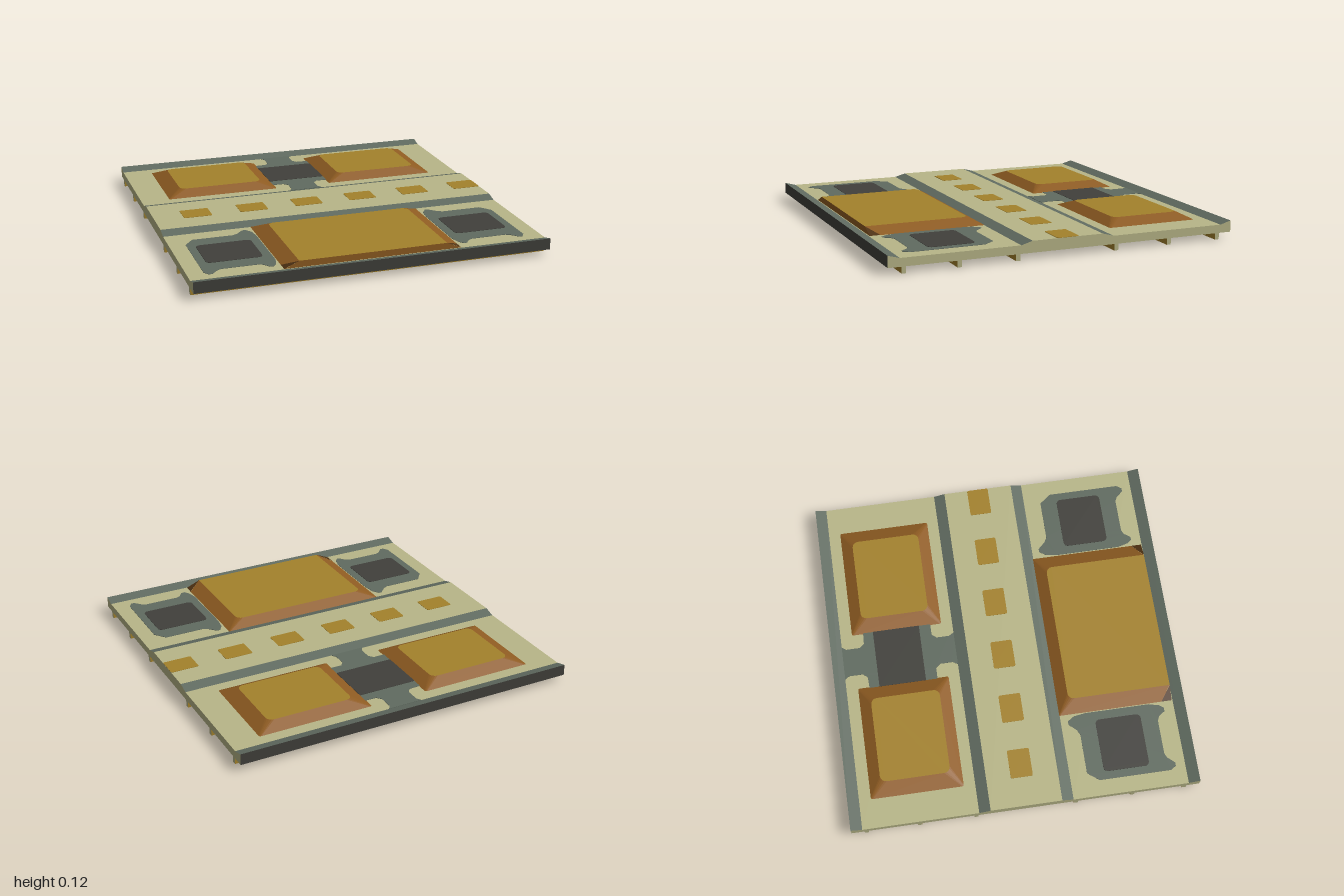
import * as THREE from 'three';

const mat = (name, color, side = THREE.FrontSide) => {
  const m = new THREE.MeshStandardMaterial({ color, side });
  m.name = name;
  return m;
};

export function createModel() {
  const cream = mat('cream', 0xb8b688);
  const gold = mat('gold', 0xa4822b);
  const brown = mat('brown', 0x8f5c22);
  const deepBrown = mat('deepBrown', 0x4f3213, THREE.DoubleSide);
  const grey = mat('greyGreen', 0x606b60);
  const dark = mat('charcoal', 0x41403b);

  const FLOOR = 0.082, RIM = 0.1, TOP = 0.118, BOTTOM = 0.036;
  const model = new THREE.Group();
  model.name = 'floorPanel';

  const add = (name, geometry, material) => {
    const mesh = new THREE.Mesh(geometry, material);
    mesh.name = name;
    model.add(mesh);
    return mesh;
  };

  // Flat-shaded convex polygons, each split into a fan
  const facets = (name, material, polygons) => {
    const points = [];
    for (const p of polygons)
      for (let i = 1; i < p.length - 1; i++) points.push(...p[0], ...p[i], ...p[i + 1]);
    const g = new THREE.BufferGeometry();
    g.setAttribute('position', new THREE.Float32BufferAttribute(points, 3));
    g.computeVertexNormals();
    return add(name, g, material);
  };

  // Rounded rectangle as [x, z] points, counterclockwise seen from above
  const ring = (x0, x1, z0, z1, rBack, rFront = rBack) => {
    const points = [];
    for (let k = 0; k < 4; k++) {
      const r = k < 2 ? rBack : rFront;
      const cx = k === 0 || k === 3 ? x1 - r : x0 + r;
      const cz = k < 2 ? z0 + r : z1 - r;
      for (let i = 0; i <= 4; i++) {
        const a = (k + i / 4) * Math.PI / 2;
        points.push([cx + r * Math.cos(a), cz - r * Math.sin(a)]);
      }
    }
    return points;
  };
  const lift = (points, y) => points.map(([x, z]) => [x, y, z]);

  // Thin painted plate from an [x, z] outline
  const plate = (name, material, outline, y, thickness) => {
    const shape = new THREE.Shape(outline.map(([x, z]) => new THREE.Vector2(x, -z)));
    const g = new THREE.ExtrudeGeometry(shape, { depth: thickness, bevelEnabled: false });
    g.rotateX(-Math.PI / 2).translate(0, y, 0);
    return add(name, g, material);
  };

  // Slab: strips along x following the [z, y] profile, sloped strips in grey
  const profile = [[-1, RIM], [-0.935, FLOOR], [-0.27, FLOOR], [-0.205, RIM],
    [0.205, RIM], [0.27, FLOOR], [0.935, FLOOR], [1, RIM]];
  const flats = [], slopes = [], ends = [];
  for (let i = 0; i < profile.length - 1; i++) {
    const [za, ya] = profile[i], [zb, yb] = profile[i + 1];
    (ya === yb ? flats : slopes).push([[-1, ya, za], [-1, yb, zb], [1, yb, zb], [1, ya, za]]);
    ends.push([[1, BOTTOM, zb], [1, BOTTOM, za], [1, ya, za], [1, yb, zb]]);
    ends.push([[-1, BOTTOM, za], [-1, BOTTOM, zb], [-1, yb, zb], [-1, ya, za]]);
  }
  facets('deck', cream, flats);
  facets('slopedStrips', grey, slopes);
  facets('slabEnds', cream, ends);
  facets('slabEdgesAndUnderside', dark, [
    [[-1, BOTTOM, 1], [1, BOTTOM, 1], [1, RIM, 1], [-1, RIM, 1]],
    [[1, BOTTOM, -1], [-1, BOTTOM, -1], [-1, RIM, -1], [1, RIM, -1]],
    [[-1, BOTTOM, -1], [1, BOTTOM, -1], [1, BOTTOM, 1], [-1, BOTTOM, 1]],
  ]);

  // Ribs under the slab
  for (const z of [-0.915, -0.61, -0.287, 0.287, 0.613, 0.915]) {
    const g = new THREE.BoxGeometry(2, BOTTOM, 0.024).translate(0, BOTTOM / 2, z);
    add('rib', g, [cream, cream, gold, gold, gold, gold]);
  }

  // Bevelled raised panel: brown walls and a gold top
  const raisedPanel = (name, base, top, openFront) => {
    const walls = [];
    for (let i = 0; i < base.length; i++) {
      if (openFront && i === 14) continue;
      const j = (i + 1) % base.length;
      const [b0, b1] = lift([base[i], base[j]], FLOOR);
      const [t0, t1] = lift([top[i], top[j]], TOP);
      walls.push([b0, b1, t1, t0]);
    }
    if (openFront) {
      walls.push([[-0.5, FLOOR, 0.93], [0.5, FLOOR, 0.93], [0.417, TOP, 0.93], [-0.417, TOP, 0.93]]);
    }
    facets(name + 'Bevel', brown, walls);
    facets(name + 'Top', gold, [lift(top, TOP)]);
  };
  for (const s of [-1, 1]) {
    const c = s * 0.5;
    raisedPanel('backPanel', ring(c - 0.333, c + 0.333, -0.867, -0.335, 0.01),
      ring(c - 0.25, c + 0.25, -0.8, -0.4, 0.035));
  }
  raisedPanel('frontPanel', ring(-0.5, 0.5, 0.267, 0.87, 0.005, 0.001),
    ring(-0.417, 0.417, 0.333, 0.93, 0.035, 0.001), true);
  facets('frontPanelCorners', deepBrown, [-1, 1].map(s =>
    [[s * 0.5, FLOOR + 0.001, 0.87], [s * 0.5, FLOOR + 0.001, 0.93], [s * 0.417, TOP, 0.93]]));

  // Grey link with a dark window between the back panels
  const half = [[0.1, -0.935], [0.083, -0.91], [0.083, -0.83], [0.105, -0.803], [0.18, -0.8],
    [0.18, -0.4], [0.105, -0.4], [0.083, -0.373], [0.083, -0.3], [0.1, -0.27]];
  const mirrored = half.map(([x, z]) => [-x, z]).reverse();
  plate('backLink', grey, [...half, ...mirrored], FLOOR, 0.002);
  plate('backWindow', dark, ring(-0.172, 0.172, -0.742, -0.468, 0.005), FLOOR, 0.004);

  // Grey flared pads with dark windows beside the front panel
  const pad = [[0.91, 0.435], [0.86, 0.37], [0.63, 0.37], [0.6, 0.355], [0.56, 0.312],
    [0.54, 0.312], [0.515, 0.35], [0.505, 0.42], [0.505, 0.79], [0.52, 0.85], [0.54, 0.878],
    [0.56, 0.875], [0.585, 0.84], [0.61, 0.828], [0.81, 0.828], [0.835, 0.84], [0.87, 0.88],
    [0.89, 0.88], [0.91, 0.85]];
  for (const s of [-1, 1]) {
    plate('frontPad', grey, pad.map(([x, z]) => [s * x, z]), FLOOR, 0.002);
    plate('frontWindow', dark, ring(s * 0.71 - 0.155, s * 0.71 + 0.155, 0.468, 0.732, 0.025), FLOOR, 0.004);
  }

  // Row of gold marks along the middle walkway
  for (let i = 0; i < 6; i++) {
    const x = -0.833 + i / 3;
    plate('walkwayMark', gold, ring(x, x + 0.166, -0.065, 0.062, 0.01), RIM, 0.002);
  }

  return model;
}
